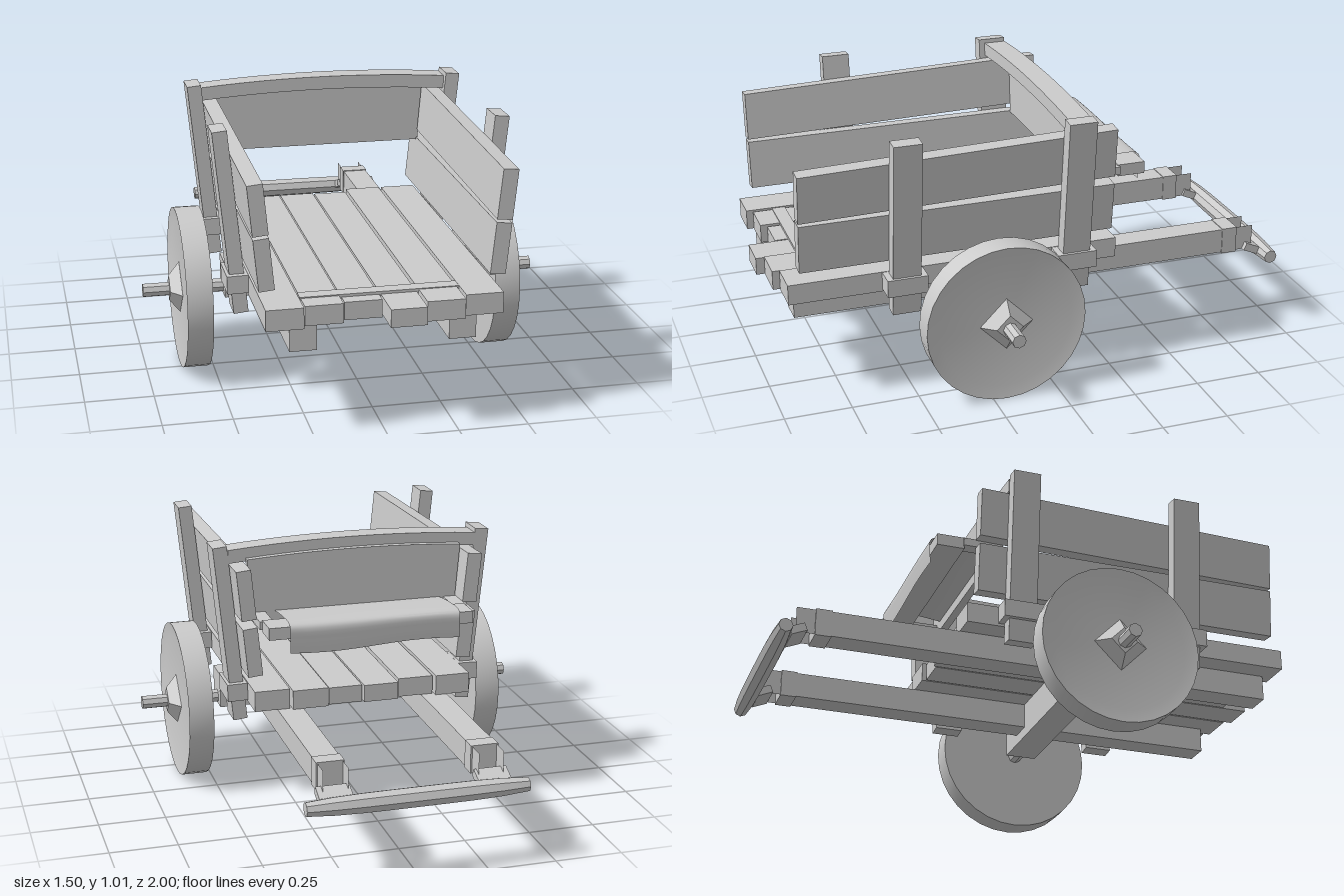
import * as THREE from 'three';
import { toCreasedNormals } from 'three/addons/utils/BufferGeometryUtils.js';

const mat = new THREE.MeshStandardMaterial({ color: 0xcccccc });
const thin = new THREE.MeshStandardMaterial({ color: 0xcccccc, side: THREE.DoubleSide });
const TILT = 0.098; // outward lean of posts and side boards

export function createModel() {
  const cart = new THREE.Group();
  cart.name = 'handCart';

  const add = (name, geo, x = 0, y = 0, z = 0, material = mat) => {
    const m = new THREE.Mesh(geo, material);
    m.name = name;
    m.position.set(x, y, z);
    cart.add(m);
    return m;
  };
  // box given by its minimum and maximum corners
  const box = (name, x0, x1, y0, y1, z0, z1) =>
    add(name, new THREE.BoxGeometry(x1 - x0, y1 - y0, z1 - z0),
      (x0 + x1) / 2, (y0 + y1) / 2, (z0 + z1) / 2);
  // move every vertex by a rule
  const bend = (geo, rule) => {
    const p = geo.attributes.position, v = new THREE.Vector3();
    for (let i = 0; i < p.count; i++) {
      rule(v.fromBufferAttribute(p, i));
      p.setXYZ(i, v.x, v.y, v.z);
    }
    return toCreasedNormals(geo, 0.6);
  };

  // floor planks: left edge, right edge, top, front end, back end
  [
    [-0.415, -0.284, 0.478, 0.95, -0.31],
    [-0.277, -0.143, 0.473, 0.925, -0.29],
    [-0.135, -0.003, 0.467, 0.90, -0.31],
    [0.003, 0.13, 0.467, 1.0, -0.3],
    [0.137, 0.272, 0.474, 0.97, -0.315],
    [0.28, 0.413, 0.478, 0.945, -0.3],
  ].forEach(([x0, x1, top, front, back]) => box('floorPlank', x0, x1, 0.402, top, back, front));
  box('floorSlat', -0.28, 0.28, 0.44, 0.477, 0.8, 0.85);

  // axle and the beam carrying it
  box('axleBeam', -0.45, 0.45, 0.267, 0.402, 0.14, 0.26);
  const axle = add('axle', toCreasedNormals(new THREE.CylinderGeometry(0.026, 0.026, 1.5, 8), 0.4), 0, 0.296, 0.2);
  axle.rotation.z = Math.PI / 2;

  const wheelProfile = [[0, -0.0475], [0.3, -0.0475], [0.3, 0.0475], [0.25, 0.038], [0, 0.038]]
    .map(([r, h]) => new THREE.Vector2(r, h));

  for (const s of [1, -1]) {
    // wheel with a four-sided hub cap
    const wheel = add('wheel', toCreasedNormals(new THREE.LatheGeometry(wheelProfile, 32), 0.5), s * 0.573, 0.3, 0.2);
    wheel.rotation.z = -s * Math.PI / 2;
    const hub = add('hubCap', toCreasedNormals(new THREE.CylinderGeometry(0.05, 0.1, 0.04, 4), 0.3), s * 0.632, 0.3, 0.2);
    hub.rotation.z = -s * Math.PI / 2;

    // leaning posts, each held by a block at floor height
    for (const z of [0.527, -0.118]) {
      const post = add('sidePost', new THREE.BoxGeometry(0.053, 0.672, 0.105), s * 0.472, 0.664, z);
      post.rotation.z = -s * TILT;
      const block = add('postBlock', new THREE.BoxGeometry(0.076, 0.066, 0.15), s * 0.453, 0.444, z);
      block.rotation.z = -s * 0.02;
    }

    // side boards, the upper one rising towards the back
    const lower = add('lowerSideBoard', new THREE.BoxGeometry(0.055, 0.185, 1.18), s * 0.411, 0.622, 0.315);
    lower.rotation.z = -s * TILT;
    const upperGeo = bend(new THREE.BoxGeometry(0.055, 0.184, 1.18), (v) => {
      v.y += (v.y > 0 ? -0.03 : -0.021) * (v.z / 1.18);
    });
    const upper = add('upperSideBoard', upperGeo, s * 0.431, 0.827, 0.315);
    upper.rotation.z = -s * TILT;

    // shaft, thin end cheeks and the bracket of the handle
    box('shaft', s * 0.28 - 0.048, s * 0.28 + 0.048, 0.306, 0.402, -0.845, 0.91);
    box('shaftCollar', s * 0.28 - 0.051, s * 0.28 + 0.051, 0.302, 0.405, -0.845, -0.785);
    for (const dx of [-0.045, 0.045]) {
      const cheek = add('shaftCheek', new THREE.PlaneGeometry(0.07, 0.096), s * 0.28 + dx, 0.354, -0.879, thin);
      cheek.rotation.y = Math.PI / 2;
    }
    const bracket = add('handleBracket', new THREE.BoxGeometry(0.12, 0.03, 0.06), s * 0.285, 0.31, -0.908);
    bracket.rotation.x = -0.4;
  }

  // push handle, tapering at both ends
  const grip = bend(new THREE.CylinderGeometry(0.037, 0.037, 0.8, 8, 8), (v) => {
    const k = 1 - 0.3 * Math.pow(Math.abs(v.y) / 0.4, 4);
    v.x *= k;
    v.z *= k;
  });
  add('pushHandle', grip, 0, 0.29, -0.963).rotation.z = Math.PI / 2;

  // arched back rail between the rear posts
  const arch = (x) => 0.02 * (1 - (x / 0.475) ** 2);
  const rail = bend(new THREE.BoxGeometry(0.95, 0.05, 0.085, 12), (v) => { v.y += arch(v.x); });
  add('backRail', rail, 0, 0.961, -0.13);

  // back board, narrower at the foot, with the same arch on top
  const backBoard = bend(new THREE.BoxGeometry(0.82, 0.235, 0.03, 12), (v) => {
    if (v.y > 0) v.y += arch(v.x);
    else v.x *= 0.95;
  });
  add('backBoard', backBoard, 0, 0.83, -0.182);

  // seat rail behind the back board, with short arms to the sides
  box('seatRail', -0.385, 0.385, 0.712, 0.757, -0.42, -0.315);
  for (const s of [1, -1]) box('seatArm', s * 0.37 - 0.025, s * 0.37 + 0.025, 0.722, 0.752, -0.32, -0.17);

  // cover draped over the seat rail, its hem slightly wavy
  const drape = new THREE.CatmullRomCurve3([
    [0.752, -0.19], [0.765, -0.3], [0.768, -0.41], [0.755, -0.43], [0.71, -0.431], [0.662, -0.428],
  ].map(([y, z]) => new THREE.Vector3(0, y, z)));
  const cover = bend(new THREE.PlaneGeometry(0.64, 1, 10, 16), (v) => {
    const t = 0.5 - v.y;
    const q = drape.getPoint(t);
    v.set(v.x - 0.01, q.y - 0.008 * t * t * Math.sin(v.x * 9), q.z);
  });
  add('seatCover', cover, 0, 0, 0, thin);

  return cart;
}
